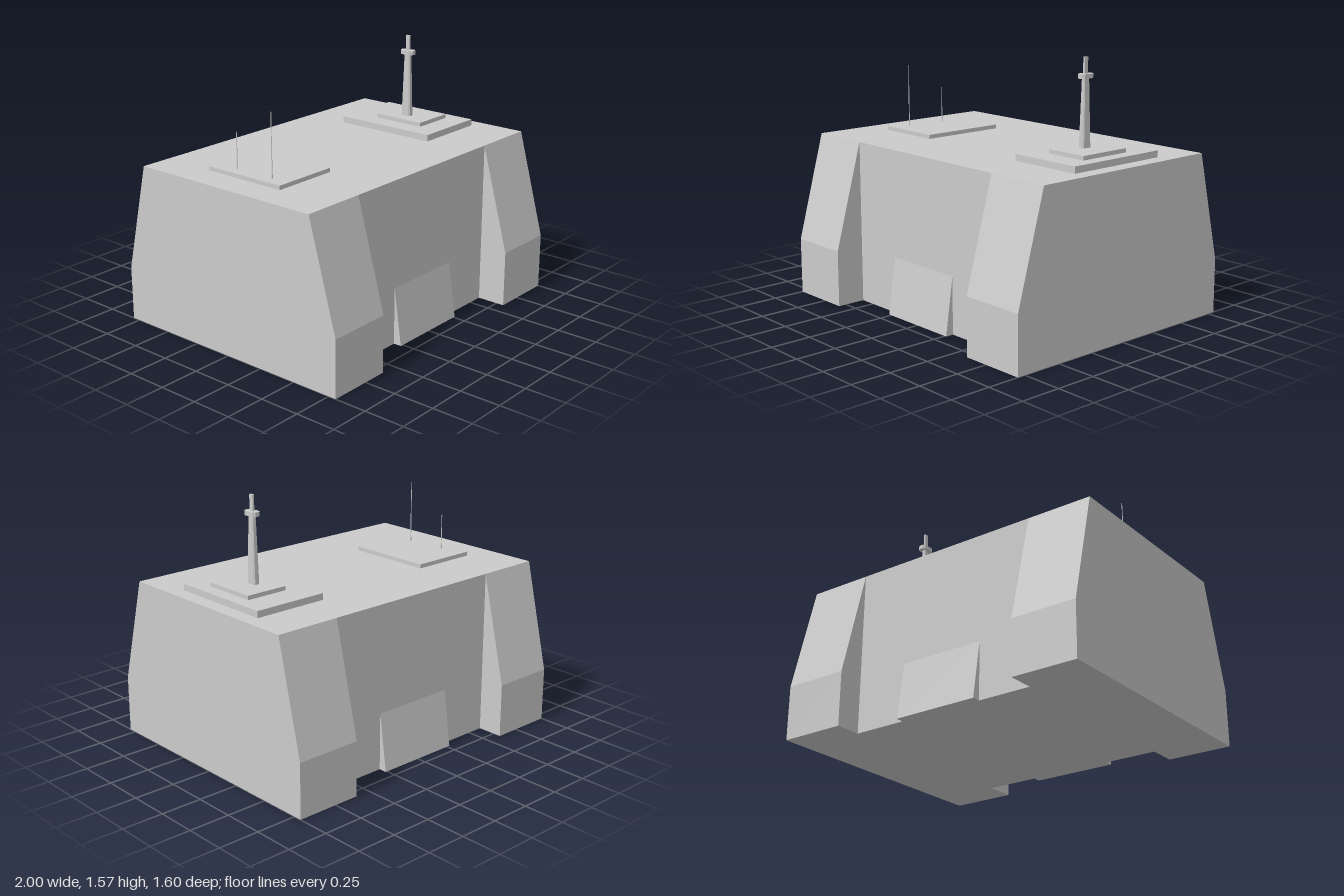
import * as THREE from 'three';

const material = new THREE.MeshStandardMaterial({ color: 0xcccccc, flatShading: true });

function add(parent, name, geometry, x = 0, y = 0, z = 0) {
  const mesh = new THREE.Mesh(geometry, material);
  mesh.name = name;
  mesh.position.set(x, y, z);
  parent.add(mesh);
  return mesh;
}

// Box given by its limits on each axis
function slab(parent, name, [x0, x1], [y0, y1], [z0, z1]) {
  return add(parent, name, new THREE.BoxGeometry(x1 - x0, y1 - y0, z1 - z0),
    (x0 + x1) / 2, (y0 + y1) / 2, (z0 + z1) / 2);
}

// Side profile of [z, y] points, extruded along x from x0 to x1
function profile(parent, name, points, x0, x1) {
  const shape = new THREE.Shape(points.map(([z, y]) => new THREE.Vector2(-z, y)));
  const geometry = new THREE.ExtrudeGeometry(shape, { depth: x1 - x0, bevelEnabled: false });
  geometry.rotateY(Math.PI / 2);
  return add(parent, name, geometry, x0, 0, 0);
}

// Rectangle with cut corners, extruded upward
function cutCornerBlock(w, d, h, c) {
  const a = w / 2, b = d / 2;
  const shape = new THREE.Shape([
    [a, b - c], [a - c, b], [c - a, b], [-a, b - c],
    [-a, c - b], [c - a, -b], [a - c, -b], [a, c - b],
  ].map(([x, y]) => new THREE.Vector2(x, y)));
  return new THREE.ExtrudeGeometry(shape, { depth: h, bevelEnabled: false }).rotateX(-Math.PI / 2);
}

export function createModel() {
  const model = new THREE.Group();
  model.name = 'bunker';
  const roof = 0.995, front = 0.62, back = -0.64;

  // Main block and the two sloped end sections
  slab(model, 'centralBlock', [-0.6, 0.595], [0, roof], [back, front]);
  const buttress = [[0.8, 0], [0.8, 0.345], [front, roof], [back, roof], [-0.8, 0.33], [-0.8, 0]];
  profile(model, 'rightEndSection', buttress, -1, -0.6);
  profile(model, 'leftEndSection', buttress, 0.595, 1);

  // Sloped aprons at the middle of the front and back walls
  profile(model, 'frontApron', [[0.67, 0], [front, 0.345], [front, 0]], -0.27, 0.262);
  profile(model, 'backApron', [[-0.69, 0], [back, 0.345], [back, 0]], -0.27, 0.262);

  // Roof plates
  slab(model, 'antennaPlate', [-0.813, -0.395], [roof, 1.02], [-0.3, 0.245]);
  slab(model, 'mastLowerPlate', [0.443, 0.91], [roof, 1.035], [-0.36, 0.305]);
  slab(model, 'mastUpperPlate', [0.562, 0.83], [1.035, 1.06], [-0.18, 0.16]);

  // Tapered mast with collar and tip
  const mast = new THREE.Group();
  mast.name = 'mast';
  mast.position.set(0.663, 0, -0.02);
  model.add(mast);
  const shaft = cutCornerBlock(0.042, 0.066, 0.4, 0.008);
  const p = shaft.attributes.position;
  for (let i = 0; i < p.count; i++) {
    if (p.getY(i) > 0.2) p.setXYZ(i, p.getX(i) * 0.62, p.getY(i), p.getZ(i) * 0.62);
  }
  shaft.computeVertexNormals();
  add(mast, 'mastShaft', shaft, 0, 1.058, 0);
  add(mast, 'mastCollar', cutCornerBlock(0.055, 0.094, 0.026, 0.014), 0, 1.453, 0);
  add(mast, 'mastTip', cutCornerBlock(0.015, 0.03, 0.094, 0.003), 0, 1.478, 0);

  // Whip antennas, each with a small foot
  for (const [z, top] of [[0.125, 1.4], [-0.142, 1.237]]) {
    const antenna = new THREE.Group();
    antenna.name = 'antenna';
    antenna.position.set(-0.744, 1.02, z);
    model.add(antenna);
    const h = top - 1.02;
    add(antenna, 'antennaFoot', new THREE.CylinderGeometry(0.004, 0.005, 0.02, 8), 0, 0.01, 0);
    add(antenna, 'antennaRod', new THREE.CylinderGeometry(0.002, 0.003, h, 8), 0, h / 2, 0);
  }
  return model;
}
